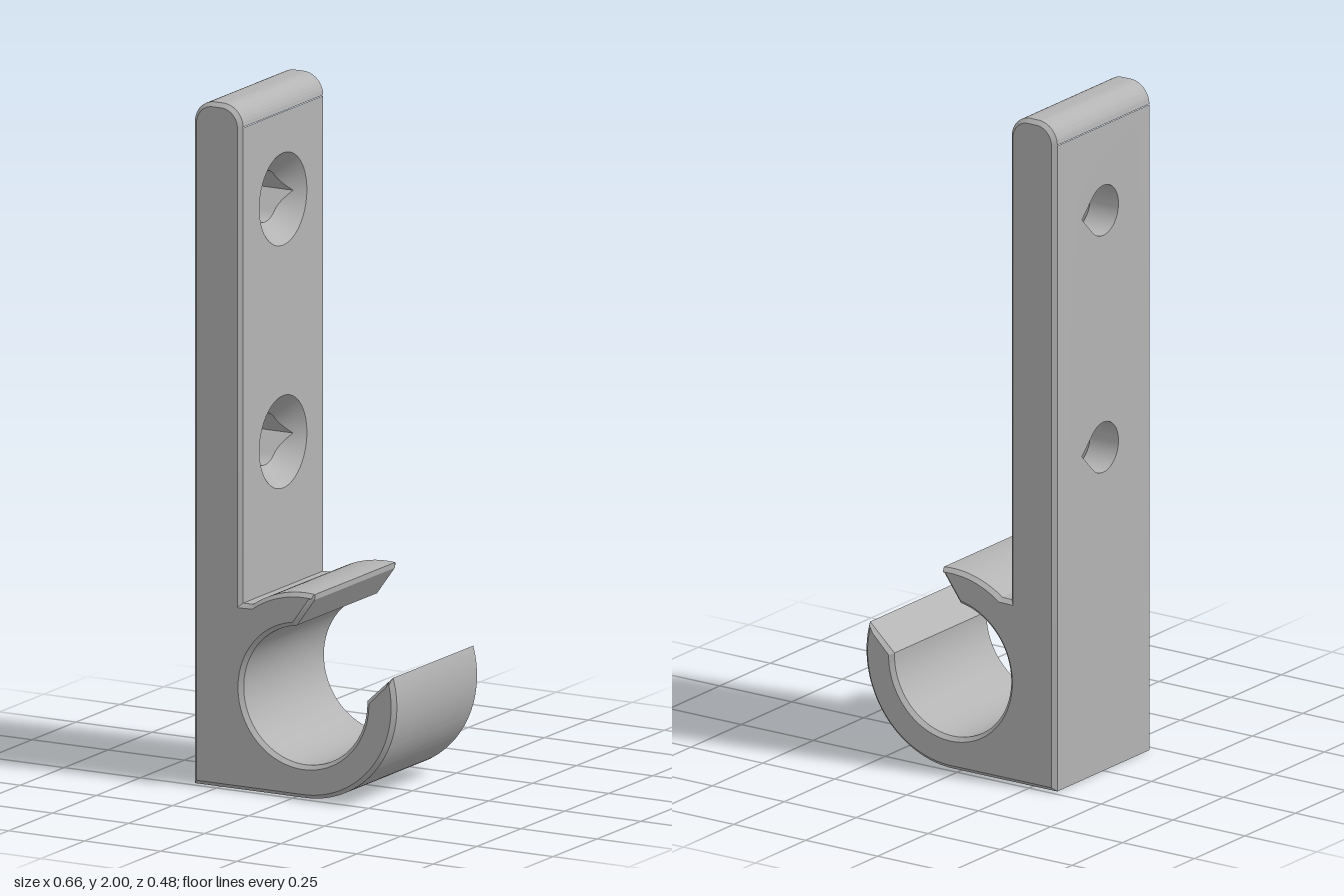
import * as THREE from 'three';
import { mergeGeometries, toCreasedNormals } from 'three/addons/utils/BufferGeometryUtils.js';

const BACK = -0.333, FRONT = -0.175;      // plate faces in x
const HALF = 0.24, CH = 0.012;            // half width in z, edge chamfer
const CX = 0.03, CY = 0.3, OUTER = 0.3, INNER = 0.203; // clip ring
const SHELF = 0.545, TOP = 2, ROUND = 0.065;
const HOLES = [0.97, 1.68], HOLE_R = 0.075, SINK_R = 0.135, N = 48;
const rad = (d) => d * Math.PI / 180;

// Radius of the teardrop bore at angle a; its point lies at a = 0
function teardrop(a) {
  const d = Math.abs(Math.atan2(Math.sin(a), Math.cos(a)));
  return d < Math.PI / 4 ? HOLE_R / Math.cos(Math.PI / 4 - d) : HOLE_R;
}
const sink = () => SINK_R;
const angles = Array.from({ length: N }, (_, i) => (i / N) * Math.PI * 2);

// Side outline of plate and open clip
function profile() {
  const s = new THREE.Shape();
  s.moveTo(BACK, 0);
  s.lineTo(CX, 0);
  s.absarc(CX, CY, OUTER, rad(-90), rad(16.5), false);
  s.absarc(CX, CY, INNER, rad(2), rad(98), true);
  s.lineTo(0.06, 0.582);
  s.absarc(CX, CY, OUTER, rad(84), rad(125), false);
  s.lineTo(FRONT, SHELF);
  s.absarc(FRONT - ROUND, TOP - ROUND, ROUND, 0, rad(90), false);
  s.absarc(BACK + ROUND, TOP - ROUND, ROUND, rad(90), rad(180), false);
  s.closePath();
  return s;
}

// Drop the plain plate walls, so that drilled ones can take their place
function withoutPlateWalls(geo) {
  const p = geo.attributes.position, out = [];
  for (let i = 0; i < p.count; i += 3) {
    const on = (x) => [0, 1, 2].every((k) => Math.abs(p.getX(i + k) - x) < 1e-4 && p.getY(i + k) > SHELF - 0.01);
    const back = [0, 1, 2].every((k) => Math.abs(p.getX(i + k) - BACK) < 1e-4);
    // the rounded top starts above both walls
    if (back || on(FRONT)) continue;
    for (let k = 0; k < 3; k++) out.push(p.getX(i + k), p.getY(i + k), p.getZ(i + k));
  }
  return fromPositions(out);
}

function fromPositions(list) {
  const g = new THREE.BufferGeometry();
  g.setAttribute('position', new THREE.Float32BufferAttribute(list, 3));
  g.computeVertexNormals();
  return g;
}

// Flat plate wall with two openings; dir is +1 for the front, -1 for the back
function drilledWall(x, y0, dir, radius) {
  const w = HALF - CH, y1 = TOP - ROUND;
  const s = new THREE.Shape([[-w, y0], [w, y0], [w, y1], [-w, y1]].map((c) => new THREE.Vector2(...c)));
  for (const y of HOLES) {
    s.holes.push(new THREE.Path(angles.map((a) =>
      new THREE.Vector2(dir * radius(a) * Math.cos(a), y + radius(a) * Math.sin(a)))));
  }
  const g = new THREE.ShapeGeometry(s).toNonIndexed();
  g.rotateY(dir * Math.PI / 2).translate(x, 0, 0);
  g.deleteAttribute('uv');
  return g;
}

// Teardrop bore running into a 45 degree countersink
function holeGeometry(y) {
  const ring = (r, x) => angles.map((a) => [x(a), y + r(a) * Math.sin(a), -r(a) * Math.cos(a)]);
  const rings = [
    ring(teardrop, () => BACK),
    ring(teardrop, (a) => FRONT - (SINK_R - teardrop(a))),
    ring(sink, () => FRONT),
  ];
  const out = [];
  for (let i = 0; i < 2; i++) {
    for (let j = 0; j < N; j++) {
      const k = (j + 1) % N;
      const a = rings[i][j], b = rings[i][k], c = rings[i + 1][k], d = rings[i + 1][j];
      out.push(...a, ...c, ...b, ...a, ...d, ...c);
    }
  }
  return toCreasedNormals(fromPositions(out), 0.5);
}

export function createModel() {
  const group = new THREE.Group();
  group.name = 'wallClip';
  const grey = new THREE.MeshStandardMaterial({ color: 0xb4b4b4 });
  grey.name = 'grey';
  const add = (name, geo) => {
    const m = new THREE.Mesh(geo, grey);
    m.name = name;
    group.add(m);
  };

  // Chamfered body
  const solid = new THREE.ExtrudeGeometry(profile(), {
    depth: 2 * (HALF - CH), curveSegments: 28, bevelEnabled: true,
    bevelThickness: CH, bevelSize: CH, bevelOffset: -CH, bevelSegments: 1,
  });
  solid.translate(0, 0, -(HALF - CH));
  add('plateAndClip', toCreasedNormals(mergeGeometries([
    withoutPlateWalls(solid),
    drilledWall(FRONT, SHELF, 1, sink),
    drilledWall(BACK, 0, -1, teardrop),
  ]), 0.5));

  // Countersunk screw holes
  HOLES.forEach((y, i) => add(i ? 'upperScrewHole' : 'lowerScrewHole', holeGeometry(y)));
  return group;
}
